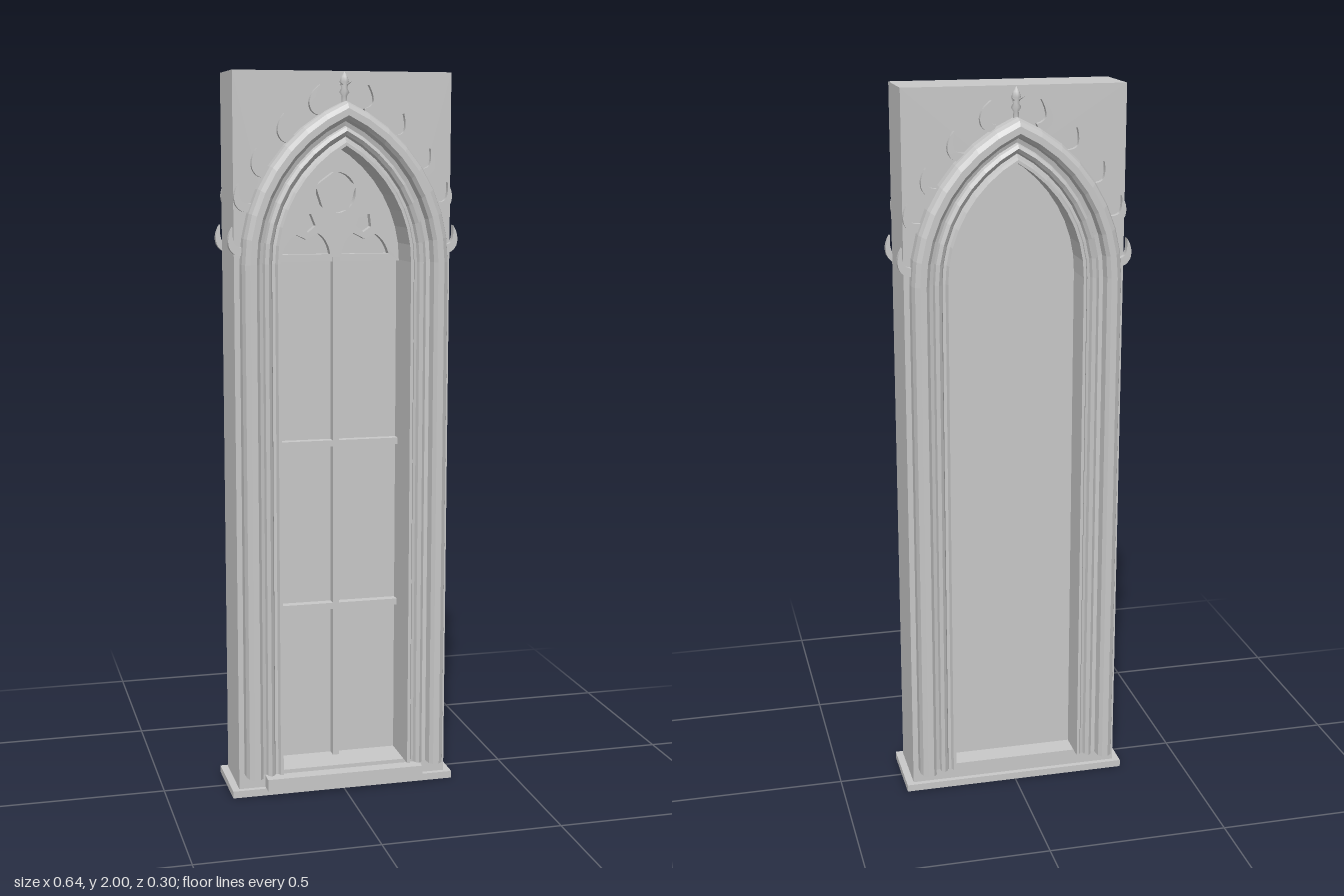
import * as THREE from 'three';

const SPRING = 1.49, FOOT = 0.065, HALF = 0.18, C = 0.177; // pointed arch: springing, foot, half width, centre offset
const ARC = 8, WALL = 0.088, PANE = -0.02;

// Points of the pointed arch, offset outward by d, from right foot to left foot.
function archPoints(d, foot = FOOT) {
  const r = HALF + C + d, end = Math.acos(C / r), right = [[HALF + d, foot]];
  for (let i = 0; i <= ARC; i++) {
    const a = end * i / ARC;
    right.push([r * Math.cos(a) - C, SPRING + r * Math.sin(a)]);
  }
  const left = right.slice(0, -1).reverse().map(([x, y]) => [-x, y]);
  return [...right, ...left].map(([x, y]) => new THREE.Vector2(x, y));
}

const V = (list) => list.map(([x, y]) => new THREE.Vector2(x, y));

function extrude(shape, z0, z1) {
  const g = new THREE.ExtrudeGeometry(shape, { depth: z1 - z0, bevelEnabled: false, curveSegments: 8 });
  return g.translate(0, 0, z0);
}

// Sweep a closed (offset, z) profile round the arch, with flat facets and capped feet.
function sweepArch(profile) {
  const rails = profile.map(([d]) => archPoints(d));
  const n = profile.length, m = rails[0].length, out = [];
  const put = (j, i) => out.push(rails[j][i].x, rails[j][i].y, profile[j][1]);
  for (let i = 0; i < m - 1; i++) {
    for (let j = 0; j < n; j++) {
      const k = (j + 1) % n;
      put(j, i); put(k, i); put(k, i + 1);
      put(j, i); put(k, i + 1); put(j, i + 1);
    }
  }
  for (const [a, b, c] of THREE.ShapeUtils.triangulateShape(V(profile), [])) {
    put(a, 0); put(c, 0); put(b, 0);
    put(a, m - 1); put(b, m - 1); put(c, m - 1);
  }
  const g = new THREE.BufferGeometry();
  g.setAttribute('position', new THREE.Float32BufferAttribute(out, 3));
  g.computeVertexNormals();
  return g;
}

// Curled leaf; s is the side it curls towards.
function crocketShape(s) {
  const p = new THREE.Shape();
  p.moveTo(-0.02 * s, -0.004);
  p.quadraticCurveTo(0.012 * s, -0.016, 0.026 * s, 0.014);
  p.quadraticCurveTo(0.034 * s, 0.04, 0.016 * s, 0.068);
  p.quadraticCurveTo(0.019 * s, 0.035, 0.01 * s, 0.022);
  p.quadraticCurveTo(0, 0.012, -0.02 * s, 0.016);
  return p;
}

export function createModel() {
  const model = new THREE.Group();
  model.name = 'gothicWindow';
  const stone = new THREE.MeshStandardMaterial({ color: 0xc8c8c8, side: THREE.DoubleSide });
  stone.name = 'paleStone';
  const add = (geometry, name, parent = model) => {
    const mesh = new THREE.Mesh(geometry, stone);
    mesh.name = name;
    parent.add(mesh);
    return mesh;
  };
  const box = (name, w, h, d, x, y, z) => add(new THREE.BoxGeometry(w, h, d).translate(x, y, z), name);

  // Wall block with the arched opening
  const wall = new THREE.Shape(V([[-0.3, 0.02], [0.3, 0.02], [0.3, 1.995], [-0.3, 1.995]]));
  wall.holes.push(new THREE.Path(archPoints(0)));
  add(extrude(wall, -WALL, WALL), 'wall');

  // Base slab and front sill
  box('base', 0.64, 0.02, 0.205, 0, 0.01, 0);
  box('sill', 0.45, 0.034, 0.045, 0, 0.037, 0.1035);

  // Pane
  add(extrude(new THREE.Shape(archPoints(0)), PANE - 0.006, PANE), 'pane');

  // Mullion and crossbars
  box('mullion', 0.018, 1.5 - FOOT, 0.028, 0, (1.5 + FOOT) / 2, PANE + 0.014);
  for (const y of [0.51, 0.98]) box('crossbar', 0.36, 0.018, 0.026, 0, y, PANE + 0.013);

  // Tracery plate: pierced wheel, two lower lights and two small eyes
  const tracery = new THREE.Shape(archPoints(0, 1.488));
  for (let i = 0; i < 5; i++) {
    const a = Math.PI / 2 + (i + 0.5) * Math.PI * 0.4, w = Math.PI / 5;
    const petal = new THREE.Path();
    petal.moveTo(0.012 * Math.cos(a), 1.675 + 0.012 * Math.sin(a));
    petal.absarc(0, 1.675, 0.056, a - w + 0.09, a + w - 0.09, false);
    petal.closePath();
    tracery.holes.push(petal);
  }
  for (const s of [-1, 1]) {
    const light = new THREE.Path();
    light.moveTo(0.15 * s, 1.508);
    light.lineTo(0.016 * s, 1.508);
    light.quadraticCurveTo(0.022 * s, 1.548, 0.05 * s, 1.565);
    light.lineTo(0.083 * s, 1.548);
    light.lineTo(0.112 * s, 1.562);
    light.quadraticCurveTo(0.14 * s, 1.545, 0.15 * s, 1.508);
    const eye = new THREE.Path(V([[0.1, 1.582], [0.078, 1.567], [0.057, 1.586], [0.07, 1.618], [0.096, 1.616]]
      .map(([x, y]) => [x * s, y])));
    tracery.holes.push(light, eye);
  }
  add(extrude(tracery, PANE, PANE + 0.026), 'tracery');

  // Moulded surround: outer roll, groove, inner roll and inner lip
  const profile = [
    [0, 0.08], [0.105, 0.08], [0.105, 0.12], [0.099, 0.138], [0.087, 0.148], [0.07, 0.148],
    [0.061, 0.138], [0.057, 0.112], [0.046, 0.108], [0.043, 0.122], [0.034, 0.13],
    [0.025, 0.122], [0.021, 0.11], [0.013, 0.112], [0.008, 0.124], [0, 0.124],
  ];
  const surround = sweepArch(profile);

  // Crockets stand on the outer edge of the arch: x, y, tilt
  const crockets = [[0.289, 1.52, 0], [0.272, 1.635, 0], [0.226, 1.725, 0.05], [0.158, 1.815, 0.15], [0.078, 1.89, 0.4]];

  // Both faces carry the same ornament
  for (const [side, turn] of [['front', 0], ['back', Math.PI]]) {
    const face = new THREE.Group();
    face.name = side + 'Ornament';
    face.rotation.y = turn;
    model.add(face);
    add(surround, 'archMoulding', face);
    for (const s of [-1, 1]) {
      const leaf = extrude(crocketShape(s), WALL - 0.004, WALL + 0.016);
      for (const [x, y, tilt] of crockets) {
        const mesh = add(leaf, 'crocket', face);
        mesh.position.set(x * s, y, 0);
        mesh.rotation.z = tilt * s;
      }
    }
    // Finial: stem, bud and four spreading leaves
    const finial = new THREE.Group();
    finial.name = 'finial';
    finial.position.set(0, 1.9, WALL + 0.009);
    face.add(finial);
    const stem = V([[0.009, 0], [0.007, 0.03], [0.014, 0.04], [0.008, 0.05], [0.013, 0.066], [0.009, 0.08], [0, 0.094]]);
    add(new THREE.LatheGeometry(stem, 8), 'finialStem', finial);
    for (let i = 0; i < 4; i++) {
      const leaf = add(new THREE.ConeGeometry(0.005, 0.028, 5).rotateZ(-1.1).translate(0.013, 0.062, 0), 'finialLeaf', finial);
      leaf.rotation.y = Math.PI / 4 + i * Math.PI / 2;
    }
  }
  return model;
}
